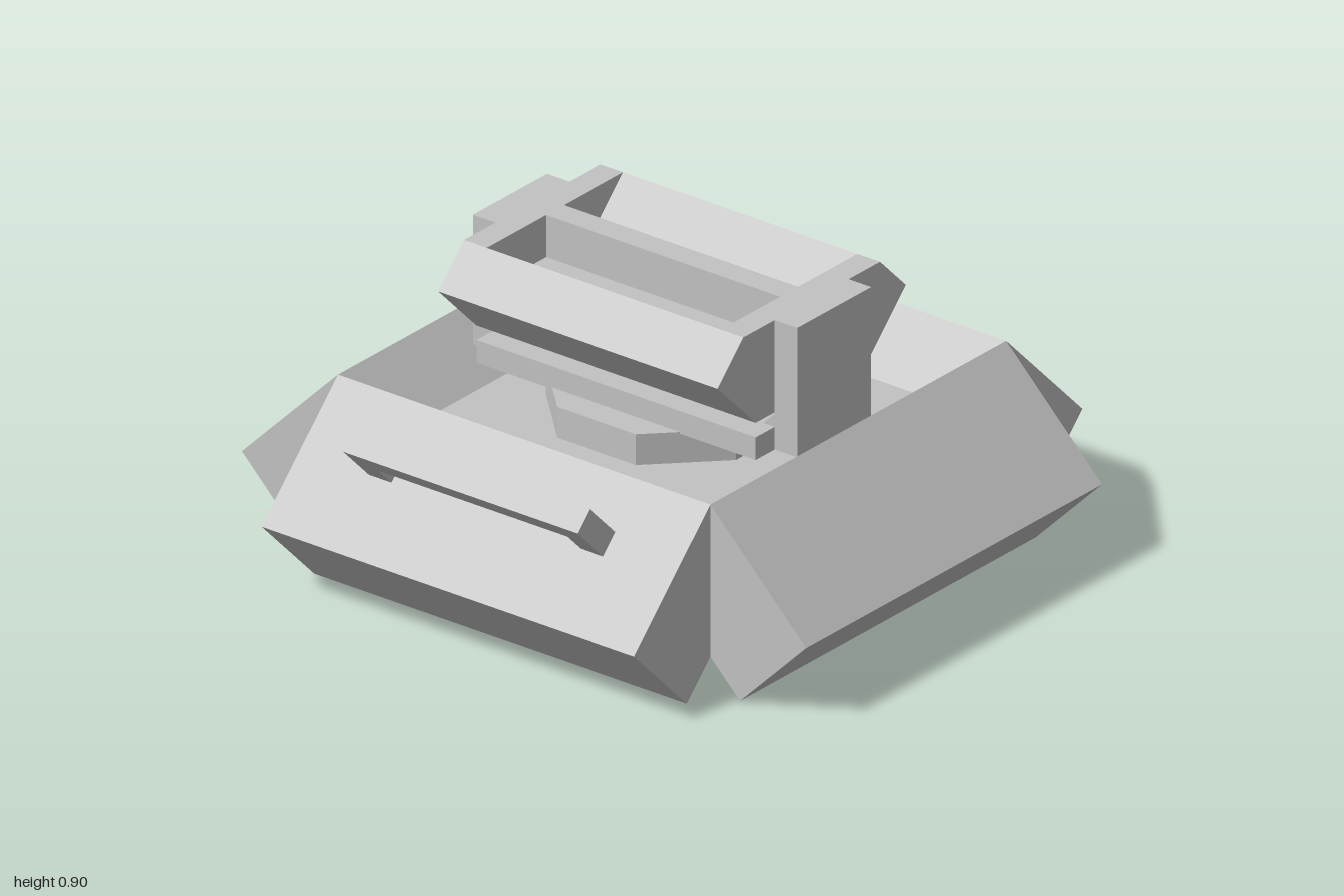
import * as THREE from 'three';

export function createModel() {
  const model = new THREE.Group();
  const grey = new THREE.MeshStandardMaterial({ color: 0xc2c2c2, flatShading: true });
  grey.name = 'light grey';

  const add = (name, geometry, parent = model) => {
    const mesh = new THREE.Mesh(geometry, grey);
    mesh.name = name;
    parent.add(mesh);
    return mesh;
  };
  const extrude = (points, width) => {
    const shape = new THREE.Shape(points.map(([u, v]) => new THREE.Vector2(u, v)));
    return new THREE.ExtrudeGeometry(shape, { depth: width, bevelEnabled: false })
      .translate(0, 0, -width / 2);
  };
  // A (z, y) profile stretched along x
  const prism = (points, width, x = 0) =>
    extrude(points, width).rotateY(-Math.PI / 2).translate(x, 0, 0);
  const box = (w, h, d, y) => new THREE.BoxGeometry(w, h, d).translate(0, y, 0);

  // Four tilted armour slabs around the base
  const slab = [[1, 0.235], [0.66, 0.575], [0.425, 0.34], [0.765, 0]];
  ['front', 'left', 'back', 'right'].forEach((side, i) => {
    add(side + 'Slab', prism(slab, 1.32)).rotation.y = i * Math.PI / 2;
  });
  add('baseFloor', box(1.16, 0.18, 1.16, 0.325));

  // Handle standing square to the front slope
  const handle = new THREE.Group();
  handle.name = 'frontHandle';
  model.add(handle);
  add('handleBar', prism([[0.945, 0.52], [0.89, 0.575], [0.835, 0.52], [0.89, 0.465]], 0.83), handle);
  for (const s of [-1, 1]) {
    add('handleLeg', prism([[0.89, 0.465], [0.835, 0.52], [0.765, 0.45], [0.82, 0.395]], 0.08, s * 0.375), handle);
  }

  // Octagonal pedestal and turntable plate
  add('pedestal', new THREE.CylinderGeometry(0.365, 0.365, 0.1, 8)
    .rotateY(Math.PI / 8).translate(0, 0.46, 0));
  add('turntablePlate', box(0.99, 0.07, 0.5, 0.54));

  // Side brackets with a small inner gusset
  const bracket = [[0.455, 0.575], [0.455, 0.505], [0.575, 0.505], [0.575, 0.905], [0.495, 0.905], [0.495, 0.615]];
  for (const i of [0, 1]) {
    add(i ? 'rightBracket' : 'leftBracket', extrude(bracket, 0.33)).rotation.y = i * Math.PI;
  }

  // Housing: full end plates, recessed middle with a raised centre bar
  const half = [[0.305, 0.905], [0.42, 0.79], [0.25, 0.62]];
  const recess = [[0.04, 0.905], [0.04, 0.775], [0.175, 0.775]];
  const mirrored = (pts) => [...pts, ...pts.map(([z, y]) => [-z, y]).reverse()];
  add('housingMiddle', prism(mirrored([...recess, ...half]), 0.83));
  for (const s of [-1, 1]) {
    add('housingEndPlate', prism(mirrored(half), 0.08, s * 0.455));
  }

  return model;
}
